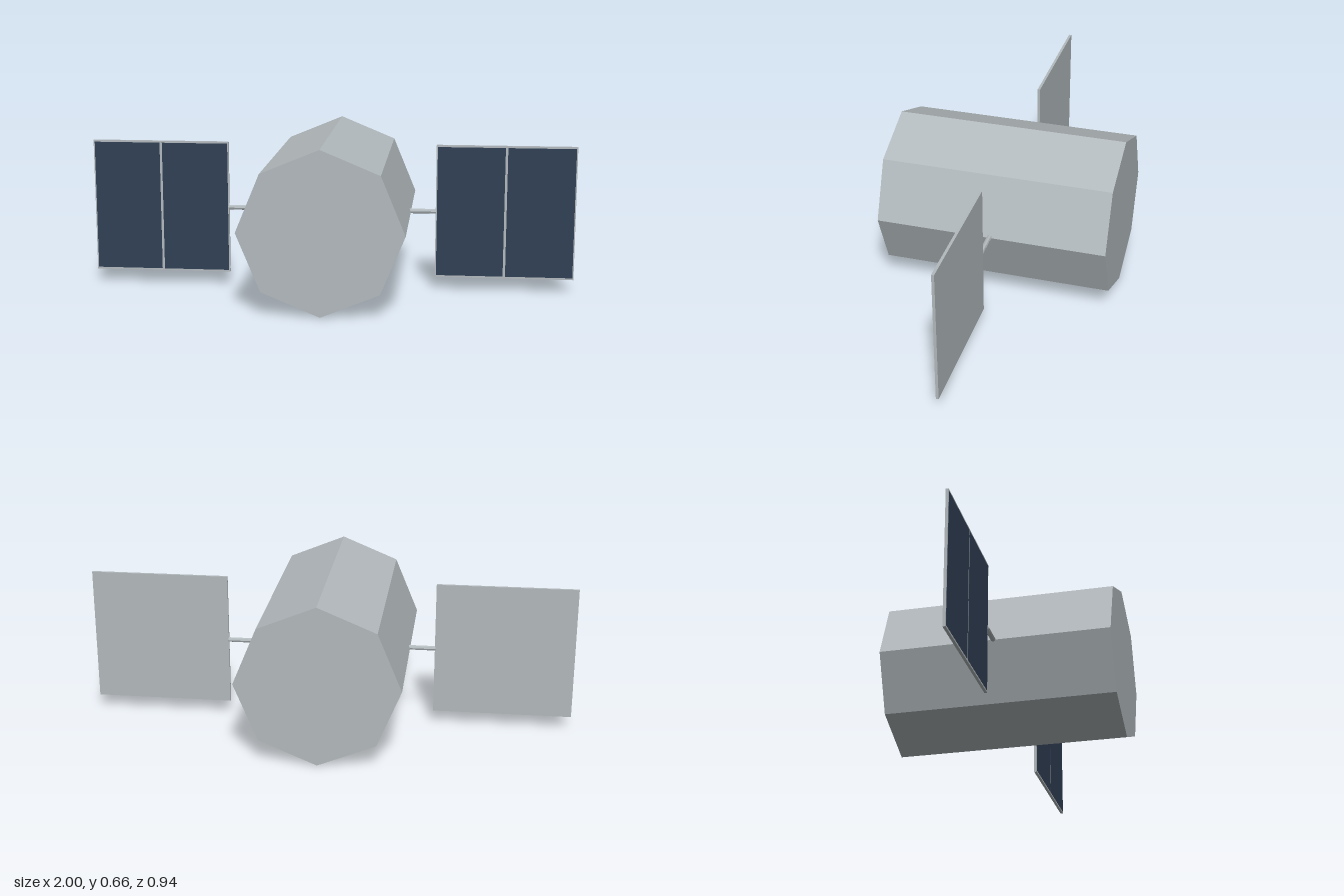
import * as THREE from 'three';

const CENTER_Y = 0.328;

function makeMaterial(name, color) {
  const m = new THREE.MeshStandardMaterial({ color, flatShading: true });
  m.name = name;
  return m;
}

function addMesh(parent, name, geometry, material, x = 0, y = 0, z = 0) {
  const mesh = new THREE.Mesh(geometry, material);
  mesh.name = name;
  mesh.position.set(x, y, z);
  parent.add(mesh);
  return mesh;
}

export function createModel() {
  const model = new THREE.Group();
  model.name = 'satellite';
  const metal = makeMaterial('greyMetal', 0xb3babd);
  const solar = makeMaterial('navySolarCell', 0x304055);

  // Eight-sided body lying along z, with an edge at top and bottom
  const bodyGeometry = new THREE.CylinderGeometry(0.328, 0.328, 0.938, 8).rotateX(Math.PI / 2);
  addMesh(model, 'body', bodyGeometry, metal, 0, CENTER_Y, 0);

  const boomGeometry = new THREE.CylinderGeometry(0.01, 0.01, 0.115, 8).rotateZ(Math.PI / 2);
  const panelGeometry = new THREE.BoxGeometry(0.57, 0.554, 0.011);
  const cellGeometry = new THREE.BoxGeometry(0.275, 0.538, 0.002);

  for (const side of [1, -1]) {
    const wing = new THREE.Group();
    wing.name = side > 0 ? 'leftWing' : 'rightWing';
    wing.position.set(0, CENTER_Y + 0.003, 0);
    model.add(wing);

    // Boom from the body to the inner edge of the panel
    addMesh(wing, 'boom', boomGeometry, metal, side * 0.3745);

    // Backing panel with two cells on its front face
    addMesh(wing, 'panel', panelGeometry, metal, side * 0.715);
    for (const offset of [-0.1425, 0.1425]) {
      addMesh(wing, 'solarCell', cellGeometry, solar, side * 0.715 + offset, 0, 0.0055);
    }
  }
  return model;
}
